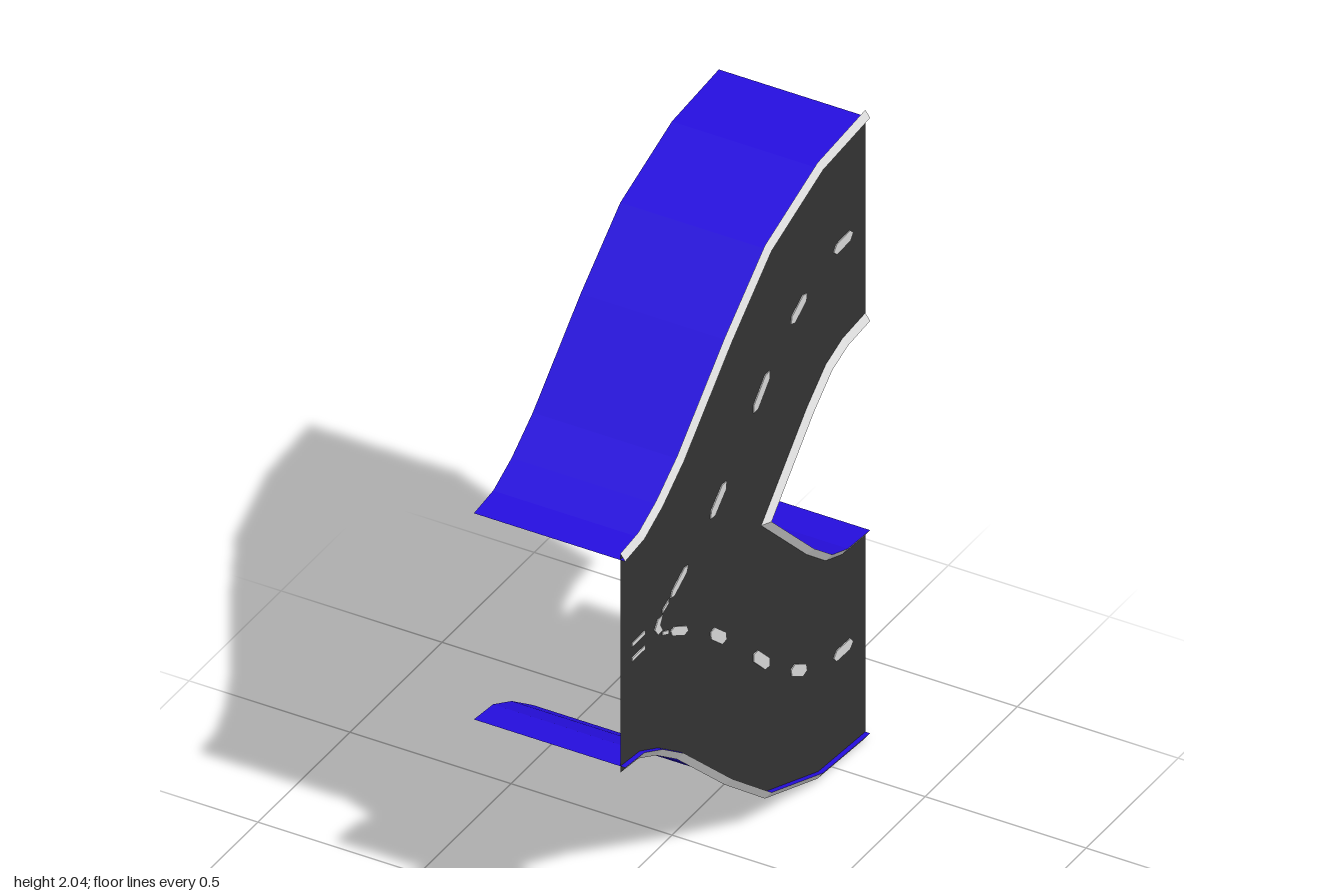
import * as THREE from 'three';

const EDGE_X = 0.235, ROAD_X = 0.22, BACK_X = -0.235, CURB = 0.021;

// Half profiles as [z, y]; the lower half mirrors about y = 1
const outerTop = [[0.665, 1.335], [0.56, 1.347], [0.46, 1.395], [0.345, 1.475],
  [0.085, 1.71], [-0.13, 1.88], [-0.41, 1.98], [-0.665, 2]];
const forkTop = [[-0.665, 1.34], [-0.545, 1.33], [-0.46, 1.3], [-0.36, 1.222], [-0.13, 1]];
const flip = (pts) => pts.map(([z, y]) => [z, 2 - y]);
const outerBottom = flip(outerTop).reverse();
const fork = [...forkTop, ...flip(forkTop).reverse().slice(1)];

// Mitred offset of a polyline towards the road; end points keep their z
function inset(pts, d) {
  const normal = (a, b) => {
    const dz = b[0] - a[0], dy = b[1] - a[1], l = Math.hypot(dz, dy);
    return [dy / l, -dz / l];
  };
  return pts.map((p, i) => {
    const last = pts.length - 1;
    const n1 = normal(pts[Math.max(i - 1, 0)], pts[Math.max(i, 1)]);
    const n2 = normal(pts[Math.min(i, last - 1)], pts[Math.min(i + 1, last)]);
    const k = d / (1 + n1[0] * n2[0] + n1[1] * n2[1]);
    const end = i === 0 || i === last;
    return [p[0] + (end ? 0 : (n1[0] + n2[0]) * k), p[1] + (n1[1] + n2[1]) * k];
  });
}

// Flat-sided ribbon between two matching polylines
function ribbon(a, xa, b, xb) {
  const pos = [];
  for (let i = 0; i < a.length - 1; i++) {
    const p = [xa, a[i][1], a[i][0]], q = [xa, a[i + 1][1], a[i + 1][0]];
    const r = [xb, b[i][1], b[i][0]], s = [xb, b[i + 1][1], b[i + 1][0]];
    pos.push(...p, ...r, ...q, ...q, ...r, ...s);
  }
  const g = new THREE.BufferGeometry();
  g.setAttribute('position', new THREE.Float32BufferAttribute(pos, 3));
  g.computeVertexNormals();
  return g;
}

const toShape = (pts) => new THREE.Shape(pts.map(([z, y]) => new THREE.Vector2(-z, y)));

export function createModel() {
  const group = new THREE.Group();
  const material = (name, color) => {
    const m = new THREE.MeshStandardMaterial({ color, side: THREE.DoubleSide });
    m.name = name;
    return m;
  };
  const blue = material('blue wall', 0x260ee0);
  const asphalt = material('dark asphalt', 0x333333);
  const white = material('pale paint', 0xd8d8d8);
  const add = (name, geometry, mat) => {
    const mesh = new THREE.Mesh(geometry, mat);
    mesh.name = name;
    group.add(mesh);
  };

  // Side walls and sloping curbs
  const outline = [];
  for (const [name, pts] of [['upper', outerTop], ['fork', fork], ['lower', outerBottom]]) {
    const inner = inset(pts, -CURB * (inwardSign(pts)));
    add(name + 'Wall', ribbon(pts, EDGE_X, pts, BACK_X), blue);
    add(name + 'Curb', ribbon(pts, EDGE_X, inner, ROAD_X), white);
    outline.push(...inner);
  }

  // Forked road surface
  add('roadSurface', new THREE.ShapeGeometry(toShape(outline)).rotateY(Math.PI / 2).translate(ROAD_X, 0, 0), asphalt);

  // Painted marks, thin enough to show on both faces of the road
  const mark = (name, pts) => add(name,
    new THREE.ExtrudeGeometry(toShape(pts), { depth: 0.006, bevelEnabled: false })
      .rotateY(Math.PI / 2).translate(ROAD_X - 0.003, 0, 0), white);

  // Centre dashes: [z, y, z, y, width]
  const dashes = [[-0.49, 1.66, -0.595, 1.664, 0.034], [-0.258, 1.562, -0.345, 1.612, 0.034],
    [-0.055, 1.392, -0.143, 1.479, 0.034], [0.178, 1.184, 0.092, 1.257, 0.034],
    [0.395, 1.054, 0.3, 1.106, 0.026]];
  for (const [z0, y0, z1, y1, w] of dashes) {
    const l = Math.hypot(z1 - z0, y1 - y0);
    const dz = (z1 - z0) / l, dy = (y1 - y0) / l;
    const at = (t, s) => [z0 + dz * t * l - dy * s * w, y0 + dy * t * l + dz * s * w];
    const pts = [at(0, 0), at(0.15, 0.5), at(0.85, 0.5), at(1, 0), at(0.85, -0.5), at(0.15, -0.5)];
    mark('upperDash', pts);
    mark('lowerDash', flip(pts));
  }

  // Small wedge and twin bars where the centre line splits
  mark('splitWedge', [[0.482, 1], [0.465, 1.024], [0.438, 1.024], [0.452, 1], [0.438, 0.976], [0.465, 0.976]]);
  for (const y of [1.024, 0.976]) {
    mark('entryBar', [[0.605, y - 0.006], [0.605, y + 0.006], [0.535, y + 0.006], [0.535, y - 0.006]]);
  }
  const tick = [[0.438, 1.03], [0.438, 1.042], [0.405, 1.056], [0.405, 1.044]];
  mark('upperTick', tick);
  mark('lowerTick', flip(tick));
  return group;
}

// All outlines run the same way round, so the road lies on one side
function inwardSign(pts) {
  const [a, b] = pts;
  const towardsBack = b[0] < a[0];
  const above = a[1] > 1;
  return towardsBack === above ? -1 : 1;
}
